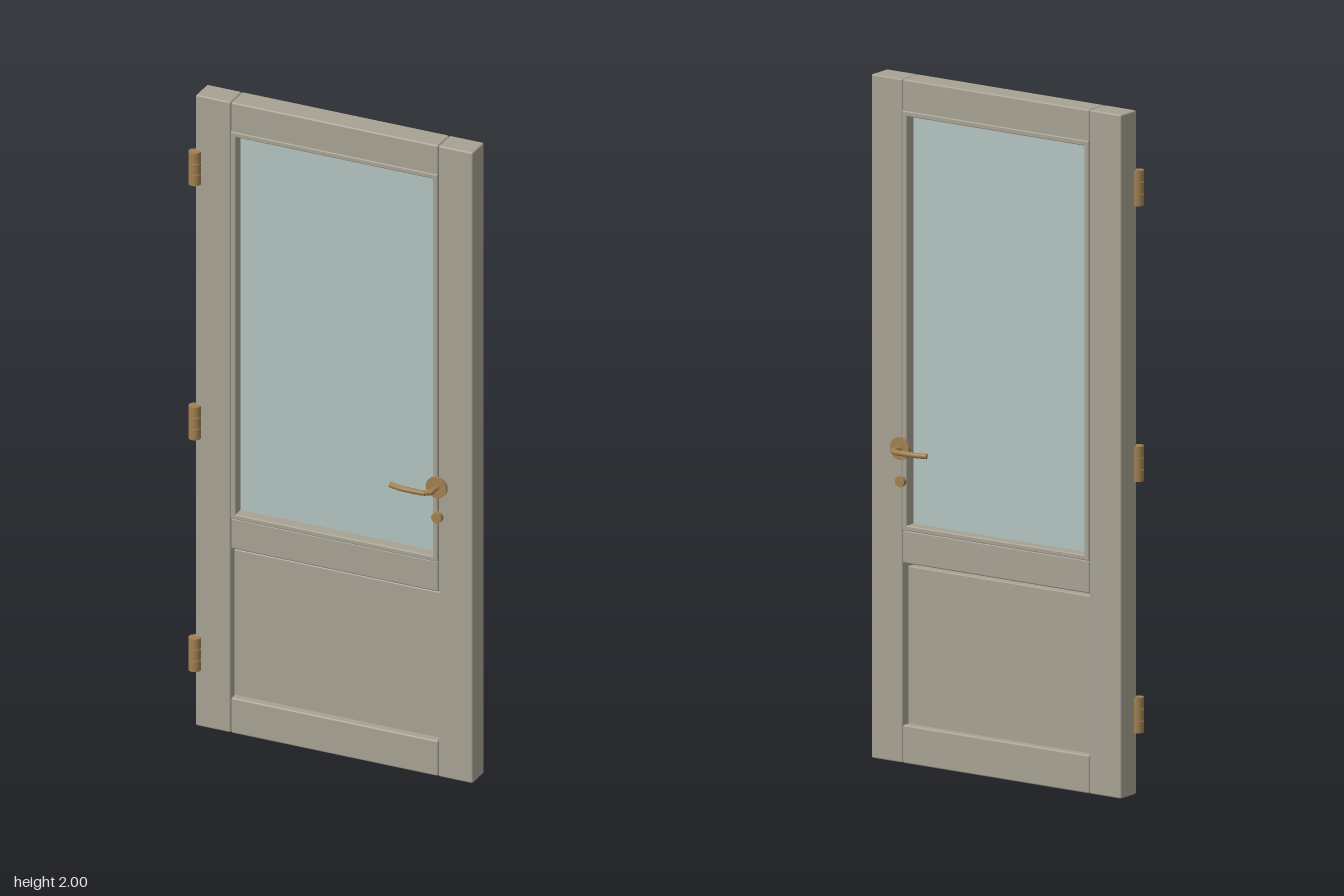
import * as THREE from 'three';
import { RoundedBoxGeometry } from 'three/addons/geometries/RoundedBoxGeometry.js';

const paint = new THREE.MeshStandardMaterial({ color: 0xa8a294 });
const glassMat = new THREE.MeshStandardMaterial({ color: 0xb2c3c0 });
const brass = new THREE.MeshStandardMaterial({ color: 0xa08050 });
const MID = -0.002; // centre plane of the door leaf

export function createModel() {
  const door = new THREE.Group();
  door.name = 'door';

  const add = (name, geometry, material, parent = door) => {
    const mesh = new THREE.Mesh(geometry, material);
    mesh.name = name;
    parent.add(mesh);
    return mesh;
  };

  // Timber given by its limits in x and y and its thickness
  const board = (name, x0, x1, y0, y1, depth, material = paint, radius = 0.005) => {
    const g = new RoundedBoxGeometry(x1 - x0, y1 - y0, depth, 2, radius);
    add(name, g, material).position.set((x0 + x1) / 2, (y0 + y1) / 2, MID);
  };

  // Frame of stiles and rails; a narrow slot stays open above the panel
  board('hingeStile', -0.43, -0.32, 0, 2, 0.077);
  board('lockStile', 0.335, 0.443, 0, 2, 0.077);
  board('topRail', -0.319, 0.334, 1.9, 2, 0.077);
  board('middleRail', -0.319, 0.334, 0.585, 0.682, 0.077);
  board('bottomRail', -0.319, 0.334, 0, 0.112, 0.077);
  board('lowerPanel', -0.32, 0.332, 0.1, 0.572, 0.03, paint, 0.003);
  board('glassPane', -0.312, 0.327, 0.685, 1.902, 0.012, glassMat, 0.001);

  // Glazing beads: a bevelled ring on each face of the pane
  const rect = (shape, x0, x1, y0, y1) =>
    shape.moveTo(x0, y0).lineTo(x1, y0).lineTo(x1, y1).lineTo(x0, y1).closePath();
  const ring = rect(new THREE.Shape(), -0.316, 0.331, 0.684, 1.906);
  ring.holes.push(rect(new THREE.Path(), -0.306, 0.321, 0.694, 1.896));
  const beadGeometry = new THREE.ExtrudeGeometry(ring, {
    depth: 0.031, bevelEnabled: true, bevelThickness: 0.004, bevelSize: 0.003, bevelSegments: 2,
  });
  for (const side of [1, -1]) {
    const bead = add(side > 0 ? 'frontGlazingBead' : 'backGlazingBead', beadGeometry, paint);
    bead.position.set(side > 0 ? 0 : 0.015, 0, MID + side * 0.0065);
    if (side < 0) bead.rotation.y = Math.PI;
  }

  // Hinges: three knuckles around a pin
  for (const y of [0.232, 0.967, 1.773]) {
    const hinge = new THREE.Group();
    hinge.name = 'hinge';
    hinge.position.set(-0.43, y, 0.042);
    door.add(hinge);
    add('hingePin', new THREE.CylinderGeometry(0.014, 0.014, 0.104, 20), brass, hinge);
    for (const k of [-1, 0, 1]) {
      add('hingeKnuckle', new THREE.CylinderGeometry(0.018, 0.018, 0.033, 24), brass, hinge)
        .position.y = k * 0.035;
    }
  }

  // Lever handles with rosettes and key covers on both faces
  for (const side of [1, -1]) {
    const handle = new THREE.Group();
    handle.name = side > 0 ? 'frontHandle' : 'backHandle';
    handle.position.set(0.335, 0.922, MID);
    door.add(handle);

    const disc = (name, radius, depth, y, z) => {
      const mesh = add(name, new THREE.CylinderGeometry(radius, radius, depth, 32), brass, handle);
      mesh.rotation.x = Math.PI / 2;
      mesh.position.set(0, y, side * z);
    };
    disc('rosette', 0.033, 0.007, 0, 0.049);
    disc('spindleCollar', 0.011, 0.06, 0, 0.028);
    disc('keyCover', 0.016, 0.016, -0.097, 0.044);

    const path = new THREE.CurvePath();
    const points = [[0, 0.045], [0, 0.084], [-0.018, 0.098], [-0.052, 0.103], [-0.09, 0.102], [-0.125, 0.093]]
      .map(([x, z], i) => new THREE.Vector3(x, i > 2 ? 0.002 : 0, side * z));
    for (let i = 1; i < points.length; i++) path.add(new THREE.LineCurve3(points[i - 1], points[i]));
    add('lever', new THREE.TubeGeometry(path, 40, 0.008, 12), brass, handle);

    // Flat end of the lever
    const end = add('leverEnd', new THREE.CircleGeometry(0.008, 12), brass, handle);
    end.position.copy(points[5]);
    const outward = points[5].clone().sub(points[4]).normalize();
    end.quaternion.setFromUnitVectors(new THREE.Vector3(0, 0, 1), outward);
  }

  return door;
}
